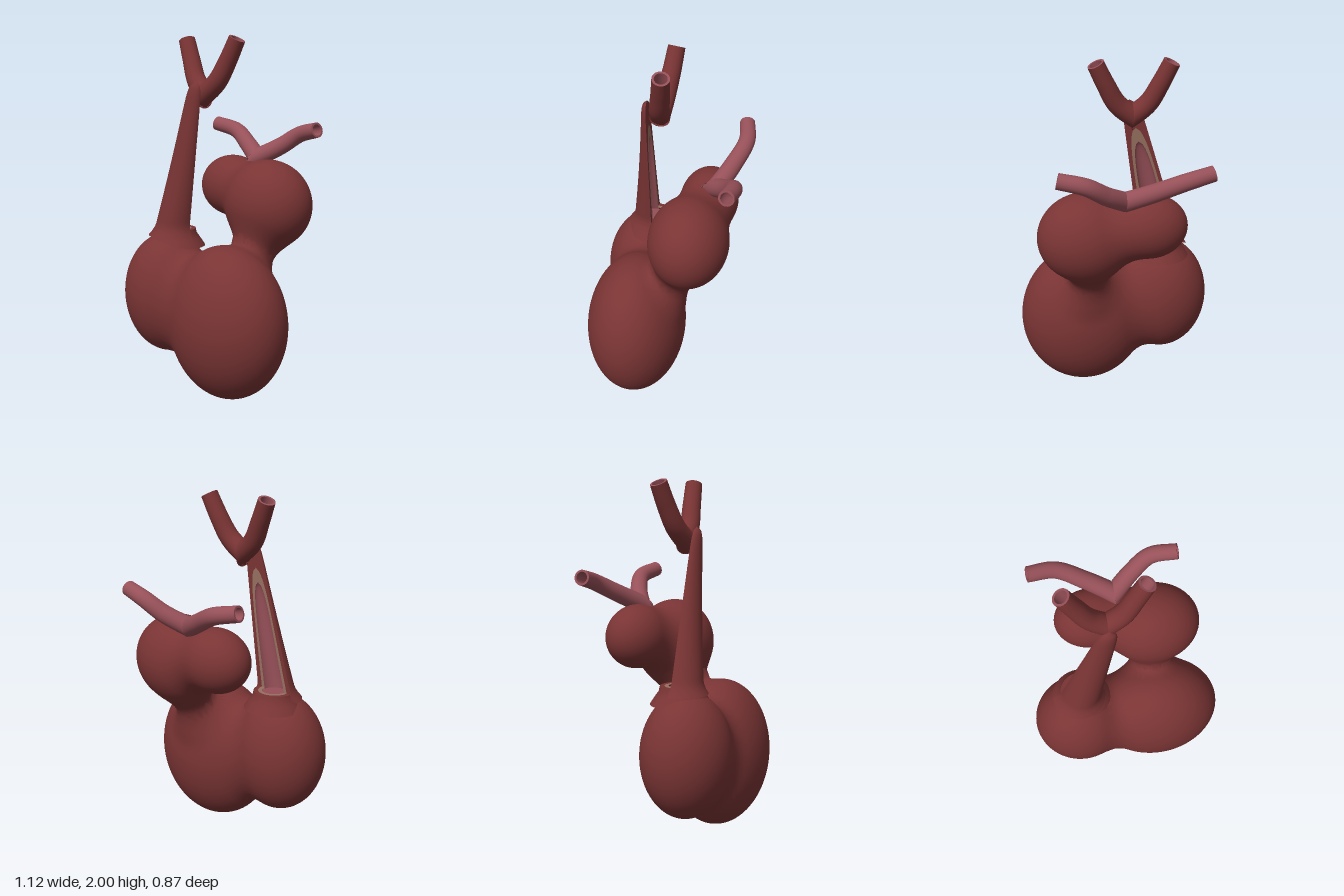
import * as THREE from 'three';

const side = THREE.DoubleSide;
const muscle = new THREE.MeshStandardMaterial({ name: 'muscleRed', color: 0x7a3434, side });
const vein = new THREE.MeshStandardMaterial({ name: 'veinPink', color: 0x965058, side });
const wall = new THREE.MeshStandardMaterial({ name: 'cutWallTan', color: 0x967060, side });
const V = (x, y, z) => new THREE.Vector3(x, y, z);

// The chambers: ellipsoids that melt into each other, plus a neck between two of them
const chambers = [
  { name: 'leftVentricle', c: V(0.18, 0.43, 0.15), r: V(0.377, 0.43, 0.283) },
  { name: 'rightVentricle', c: V(-0.285, 0.525, 0.175), r: V(0.275, 0.35, 0.248) },
  { name: 'leftAtrium', c: V(0.195, 1.06, -0.152), r: V(0.27, 0.252, 0.223) },
  { name: 'rightAtrium', c: V(-0.14, 1.13, -0.21), r: V(0.215, 0.18, 0.165) },
];
const neck = new THREE.Line3(V(0.175, 0.95, -0.14), V(0.175, 0.65, -0.02));
const tmp = V(0, 0, 0);

function smoothMin(a, b, k) {
  const h = Math.max(k - Math.abs(a - b), 0) / k;
  return Math.min(a, b) - h * h * k / 4;
}

// Distance-like field, negative inside the body
function field(p) {
  neck.closestPointToPoint(p, true, tmp);
  let d = tmp.distanceTo(p) - 0.1;
  for (const { c, r } of chambers) {
    const x = (p.x - c.x) / r.x, y = (p.y - c.y) / r.y, z = (p.z - c.z) / r.z;
    const k0 = Math.hypot(x, y, z), k1 = Math.hypot(x / r.x, y / r.y, z / r.z) || 1e-6;
    d = smoothMin(d, k0 * (k0 - 1) / k1, 0.11);
  }
  return d;
}

// Push a sphere's vertices outwards until they meet the blended surface
function lobe(name, centre, radii, reach) {
  const geo = new THREE.SphereGeometry(1, 72, 48);
  const pos = geo.attributes.position, nor = geo.attributes.normal;
  const dir = V(0, 0, 0), p = V(0, 0, 0), q = V(0, 0, 0), e = 0.002;
  const at = (t) => p.copy(centre).addScaledVector(dir, t);
  for (let i = 0; i < pos.count; i++) {
    dir.fromBufferAttribute(pos, i).multiply(radii);
    let lo = 0.4, hi = 0.4;
    while (hi < reach && field(at(hi)) < 0) { lo = hi; hi += 0.04; }
    for (let n = 0; n < 12; n++) {
      const mid = (lo + hi) / 2;
      if (field(at(mid)) < 0) lo = mid; else hi = mid;
    }
    at(hi);
    pos.setXYZ(i, p.x, p.y, p.z);
    const slope = (dx, dy, dz) => field(q.set(p.x + dx, p.y + dy, p.z + dz)) - field(q.set(p.x - dx, p.y - dy, p.z - dz));
    const n = V(slope(e, 0, 0), slope(0, e, 0), slope(0, 0, e)).normalize();
    nor.setXYZ(i, n.x, n.y, n.z);
  }
  return mesh(name, geo, muscle);
}

function mesh(name, geo, mat) {
  const m = new THREE.Mesh(geo, mat);
  m.name = name;
  return m;
}

// Hollow tapered vessel; its root is trimmed flat on the plane x = seam
function vessel(name, points, r0, r1, seam, mat) {
  const g = new THREE.Group();
  g.name = name;
  const path = new THREE.CatmullRomCurve3(points);
  const end = points[points.length - 1], dirSign = Math.sign(end.x - seam);
  for (const [part, k] of [['outerWall', 1], ['lining', 0.74]]) {
    const geo = new THREE.TubeGeometry(path, 40, 1, 32);
    const pos = geo.attributes.position, v = V(0, 0, 0);
    for (let i = 0; i < pos.count; i++) {
      const u = geo.attributes.uv.getX(i), c = path.getPointAt(u);
      v.fromBufferAttribute(pos, i).sub(c).multiplyScalar(k * THREE.MathUtils.lerp(r0, r1, u)).add(c);
      if ((v.x - seam) * dirSign < 0) v.x = seam;
      pos.setXYZ(i, v.x, v.y, v.z);
    }
    g.add(mesh(part, geo, k === 1 ? mat : vein));
  }
  const rim = mesh('rim', new THREE.RingGeometry(r1 * 0.74, r1, 32), vein);
  rim.position.copy(end);
  rim.lookAt(end.clone().add(path.getTangentAt(1)));
  g.add(rim);
  return g;
}

// Artery trunk, cut open along a flat plane at its back
const CUT = 0.135;
const trunkRows = (k, top) => {
  const rows = [], base = 0.86;
  for (let i = 0; i <= 40; i++) {
    const t = i / 40, y = base + (top - base) * t, s = (y - 0.95) / 0.66;
    const tip = Math.sqrt(Math.max(0, 1 - Math.pow(t, k === 1 ? 24 : 8)));
    const flare = k === 1 ? 0.03 * Math.max(0, (0.94 - y) / 0.08) ** 2 : 0;
    const r = k * (0.115 - 0.055 * s + flare) * tip;
    rows.push({ y, x: -0.258 + 0.143 * s, r, depth: r * (1 - 0.35 * Math.max(0, Math.min(1, s))) });
  }
  return rows;
};

function halfShell(rows, n = 24) {
  const pos = [], idx = [];
  rows.forEach((row, j) => {
    for (let i = 0; i <= n; i++) {
      const a = Math.PI * i / n;
      pos.push(row.x - row.r * Math.cos(a), row.y, CUT + row.depth * Math.sin(a));
      if (j && i) {
        const d = j * (n + 1) + i, b = d - n - 1;
        idx.push(b - 1, b, d, b - 1, d, d - 1);
      }
    }
  });
  const geo = new THREE.BufferGeometry();
  geo.setAttribute('position', new THREE.Float32BufferAttribute(pos, 3));
  geo.setIndex(idx);
  geo.computeVertexNormals();
  return geo;
}

// Flat cut face between an outer and an inner outline
function cutFace(outer, inner) {
  const left = (rows) => rows.map((r) => new THREE.Vector2(r.x - r.r, r.y));
  const right = (rows) => rows.map((r) => new THREE.Vector2(r.x + r.r, r.y)).reverse();
  const shape = new THREE.Shape([...left(outer), ...right(outer), ...left(inner).map((_, i) => right(inner)[inner.length - 1 - i]), ...left(inner).reverse()]);
  return new THREE.ShapeGeometry(shape).translate(0, 0, CUT);
}

function trunk() {
  const g = new THREE.Group();
  g.name = 'arteryTrunk';
  const outer = trunkRows(1, 1.745), mid = trunkRows(0.76, 1.58), inner = trunkRows(0.6, 1.5);
  g.add(mesh('trunkWall', halfShell(outer), muscle));
  g.add(mesh('trunkCutFace', cutFace(outer, mid), muscle));
  g.add(mesh('trunkCutLayer', cutFace(mid, inner), wall));
  g.add(mesh('trunkChannel', halfShell(inner), vein));
  // Stump behind the cut, with a layered rim and a bore
  const stump = new THREE.Group();
  stump.name = 'trunkStump';
  const profile = [[0.17, 0.8], [0.14, 0.845], [0.122, 0.87], [0.115, 0.9]].map(([x, y]) => new THREE.Vector2(x, y));
  stump.add(mesh('stumpWall', new THREE.LatheGeometry(profile, 40), muscle));
  for (const [name, a, b, mat] of [['stumpRim', 0.09, 0.115, muscle], ['stumpLayer', 0.068, 0.09, wall]]) {
    const ring = new THREE.RingGeometry(a, b, 32, 1, 0, Math.PI).rotateX(-Math.PI / 2).translate(0, 0.9, 0);
    stump.add(mesh(name, ring, mat));
  }
  stump.add(mesh('stumpBore', new THREE.CircleGeometry(0.068, 32).rotateX(-Math.PI / 2).translate(0, 0.892, 0), vein));
  stump.position.set(-0.268, 0, CUT);
  g.add(stump);
  return g;
}

export function createModel() {
  const model = new THREE.Group();
  model.name = 'heart';
  for (const { name, c, r } of chambers) model.add(lobe(name, c, r, 1.3));
  model.add(lobe('valveNeck', V(0.175, 0.79, -0.075), V(0.13, 0.13, 0.13), 1.7));
  model.add(trunk());

  // Two artery branches at the top of the trunk
  for (const s of [-1, 1]) {
    const pts = [[-0.05, 1.645, 0.07], [0, 1.675, 0.063], [0.085, 1.745, 0.05], [0.15, 1.86, 0.03], [0.205, 1.975, 0.015]]
      .map(([x, y, z]) => V(-0.09 + s * x, y, z));
    model.add(vessel(s < 0 ? 'rightArteryBranch' : 'leftArteryBranch', pts, 0.06, 0.047, -0.09, muscle));
  }

  // Two veins spreading from the back of the atria
  model.add(vessel('leftVein', [V(-0.06, 1.27, -0.23), V(-0.005, 1.3, -0.265), V(0.11, 1.37, -0.345),
    V(0.215, 1.44, -0.387), V(0.362, 1.475, -0.37)], 0.055, 0.043, -0.005, vein));
  model.add(vessel('rightVein', [V(0.05, 1.27, -0.23), V(-0.005, 1.3, -0.265), V(-0.15, 1.37, -0.335),
    V(-0.3, 1.44, -0.387), V(-0.452, 1.475, -0.37)], 0.055, 0.043, -0.005, vein));
  return model;
}
